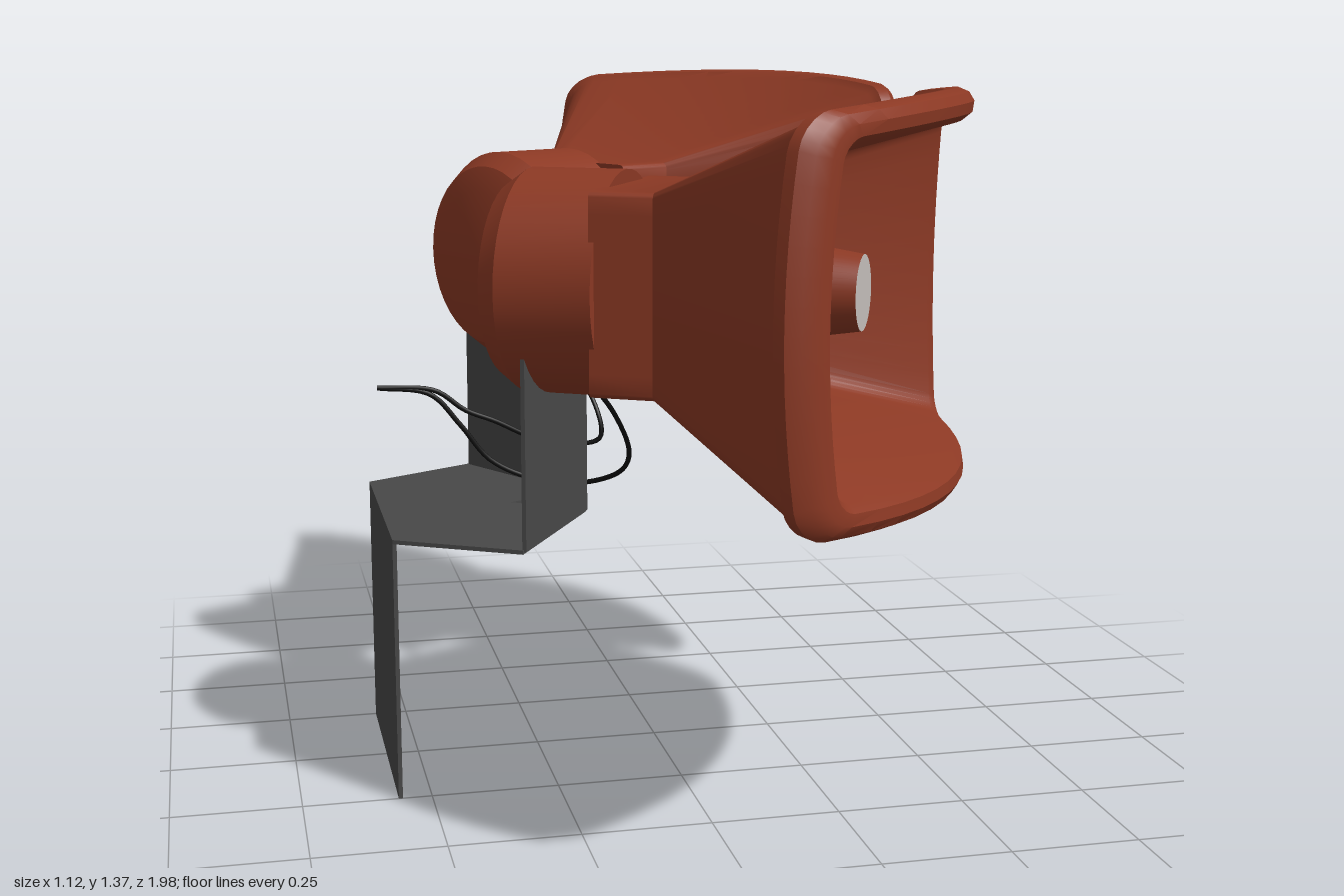
import * as THREE from 'three';
import { toCreasedNormals } from 'three/addons/utils/BufferGeometryUtils.js';

const mat = (name, color, extra = {}) => {
  const m = new THREE.MeshStandardMaterial({ color, ...extra });
  m.name = name;
  return m;
};

// Rounded rectangle ring, sides bowed outward by b, front bent back by k * x^2
function ring([hw, hh, r, z, k, b]) {
  const flat = [];
  const signs = [[1, 1], [-1, 1], [-1, -1], [1, -1]];
  signs.forEach(([sx, sy], c) => {
    for (let i = 0; i <= 5; i++) {
      const a = (c + i / 5) * Math.PI / 2;
      flat.push([sx * (hw - r) + r * Math.cos(a), sy * (hh - r) + r * Math.sin(a)]);
    }
    const [nx, ny] = signs[(c + 1) % 4];
    const a = (c + 1) * Math.PI / 2;
    const [x0, y0] = flat[flat.length - 1];
    const x1 = nx * (hw - r) + r * Math.cos(a), y1 = ny * (hh - r) + r * Math.sin(a);
    for (let i = 1; i < 12; i++) flat.push([x0 + (x1 - x0) * i / 12, y0 + (y1 - y0) * i / 12]);
  });
  return flat.map(([x, y]) => {
    const px = x * (1 - b * (y / hh) ** 2);
    return [px, y * (1 - b * (x / hw) ** 2), z - k * px * px];
  });
}

// Skin a series of rings, running from the outside back round the lip to the inside
function loft(sections) {
  const rings = sections.map(ring);
  const n = rings[0].length;
  const index = [];
  for (let j = 0; j < rings.length - 1; j++) {
    for (let i = 0; i < n; i++) {
      const a = j * n + i, b = j * n + (i + 1) % n;
      index.push(a, b, b + n, a, b + n, a + n);
    }
  }
  const g = new THREE.BufferGeometry();
  g.setAttribute('position', new THREE.Float32BufferAttribute(rings.flat(2), 3));
  g.setIndex(index);
  return toCreasedNormals(g, 0.6);
}

// Lathe whose axis lies along z; points are [radius, z] from back to front
function latheZ(points, segments = 40) {
  const g = new THREE.LatheGeometry(points.map(([r, z]) => new THREE.Vector2(r, z)), segments);
  return toCreasedNormals(g.rotateX(Math.PI / 2), 0.5);
}

export function createModel() {
  const red = mat('hornRed', 0x8c3924);
  const steel = mat('bracketGrey', 0x484848);
  const pale = mat('tipGrey', 0xc6c0bc);
  const black = mat('wireBlack', 0x0a0a0a);

  const model = new THREE.Group();
  model.name = 'hornLoudspeakers';
  const add = (parent, name, geometry, material) => {
    const mesh = new THREE.Mesh(geometry, material);
    mesh.name = name;
    parent.add(mesh);
    return mesh;
  };

  // Horn shell: half width, half height, corner radius, z, bend, bow
  const shell = loft([
    [0.19, 0.187, 0.015, -0.12, 0, 0],
    [0.19, 0.187, 0.015, 0, 0, 0],
    [0.515, 0.348, 0.05, 0.45, 0.56, 0.06],
    [0.535, 0.362, 0.06, 0.465, 0.56, 0.06],
    [0.543, 0.366, 0.06, 0.49, 0.56, 0.06],
    [0.532, 0.358, 0.06, 0.51, 0.56, 0.06],
    [0.51, 0.342, 0.05, 0.52, 0.56, 0.06],
    [0.485, 0.322, 0.04, 0.517, 0.56, 0.06],
    [0.467, 0.308, 0.03, 0.50, 0.56, 0.06],
    [0.17, 0.17, 0.03, 0.0, 0, 0],
    [0.17, 0.17, 0.03, -0.12, 0, 0],
    [0.19, 0.187, 0.015, -0.12, 0, 0],
  ]);
  const driver = latheZ([[0, -0.355], [0.135, -0.355], [0.185, -0.335], [0.213, -0.295], [0.213, -0.11], [0, -0.11]]);
  const plug = latheZ([[0.13, -0.11], [0.13, -0.05], [0.07, 0.34]]);

  for (const side of [1, -1]) {
    // Horn, splayed 30 degrees outward
    const horn = new THREE.Group();
    horn.name = side > 0 ? 'frontHorn' : 'rearHorn';
    horn.position.set(-0.025, 1.003, side * 0.355);
    horn.rotation.y = Math.PI / 2 - side * Math.PI / 6;
    model.add(horn);
    add(horn, 'hornShell', shell, red);
    add(horn, 'driverHousing', driver, red);
    add(horn, 'innerCone', plug, red);
    add(horn, 'coneTip', new THREE.CircleGeometry(0.07, 32), pale).position.z = 0.34;

    // Upright bracket wing carrying the driver
    const wing = add(horn, 'bracketWing', new THREE.BoxGeometry(0.346, 0.37, 0.008), steel);
    wing.position.set(0, -0.303, -0.255);
  }

  // Bracket shelf with a V notch at the front
  const outline = [[-0.565, 0.25], [-0.335, 0.38], [-0.16, 0.08], [-0.3, 0], [-0.16, -0.08], [-0.335, -0.38], [-0.565, -0.25]];
  const shelf = new THREE.ExtrudeGeometry(
    new THREE.Shape(outline.map(([x, z]) => new THREE.Vector2(x, -z))), { depth: 0.008, bevelEnabled: false });
  shelf.rotateX(-Math.PI / 2);
  add(model, 'bracketShelf', shelf, steel).position.y = 0.511;

  // Bracket back plate
  add(model, 'bracketBackPlate', new THREE.BoxGeometry(0.008, 0.517, 0.5), steel).position.set(-0.561, 0.2585, 0);

  // Cables from the wall to each driver
  const cables = {
    frontCable: [[-0.565, 0.767, 0], [-0.46, 0.75, 0], [-0.4, 0.685, 0], [-0.34, 0.61, 0], [-0.25, 0.567, 0.005],
      [-0.16, 0.56, 0.03], [-0.09, 0.59, 0.08], [-0.08, 0.64, 0.13], [-0.12, 0.73, 0.18], [-0.18, 0.81, 0.21]],
    rearCable: [[-0.565, 0.767, 0], [-0.45, 0.757, 0], [-0.39, 0.715, 0], [-0.33, 0.69, 0], [-0.25, 0.65, -0.01],
      [-0.16, 0.625, -0.05], [-0.09, 0.62, -0.12], [-0.08, 0.655, -0.18], [-0.11, 0.73, -0.22], [-0.18, 0.81, -0.24]],
  };
  for (const [name, pts] of Object.entries(cables)) {
    const curve = new THREE.CatmullRomCurve3(pts.map((p) => new THREE.Vector3(...p)));
    add(model, name, new THREE.TubeGeometry(curve, 60, 0.005, 8), black);
  }
  return model;
}
